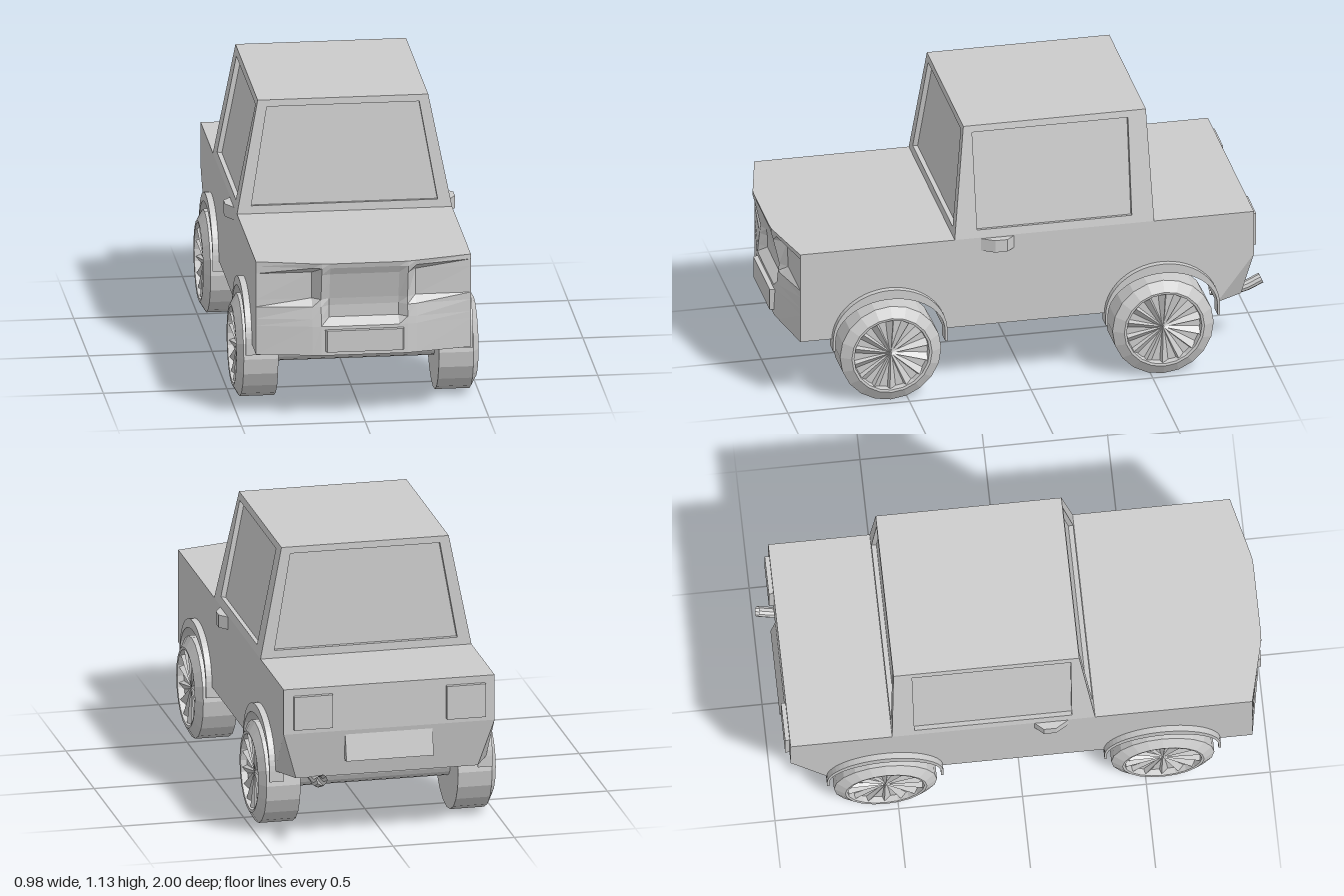
import * as THREE from 'three';
import { ConvexGeometry } from 'three/addons/geometries/ConvexGeometry.js';

const mat = new THREE.MeshStandardMaterial({ color: 0xcccccc, flatShading: true });
const V = (x, y, z) => new THREE.Vector3(x, y, z);

function add(parent, name, geometry, x = 0, y = 0, z = 0) {
  const mesh = new THREE.Mesh(geometry, mat);
  mesh.name = name;
  mesh.position.set(x, y, z);
  parent.add(mesh);
  return mesh;
}

// Flat quads, corners counter-clockwise seen from outside
function quadGeometry(quads) {
  const pts = quads.flatMap(([a, b, c, d]) => [a, b, c, a, c, d]);
  const g = new THREE.BufferGeometry().setFromPoints(pts);
  g.computeVertexNormals();
  return g;
}

// Side profile in (z, y), extruded across x from x0 to x1
function extrudeX(shape, x0, x1) {
  return new THREE.ExtrudeGeometry(shape, { depth: x1 - x0, bevelEnabled: false, curveSegments: 14 })
    .rotateY(-Math.PI / 2).translate(x1, 0, 0);
}

const AXLES = [0.57, -0.55], HALF = 0.435, TOP = 0.67, BOTTOM = 0.28;

// Main body with both wheel arches cut right through
function bodyGeometry() {
  const s = new THREE.Shape();
  s.moveTo(-0.78, BOTTOM);
  s.lineTo(-0.78, TOP);
  s.lineTo(0.935, TOP);
  s.lineTo(0.935, BOTTOM);
  for (const z of AXLES) {
    s.lineTo(z + 0.225, BOTTOM);
    s.absellipse(z, BOTTOM, 0.225, 0.165, 0, Math.PI, false);
  }
  return extrudeX(s, -HALF, HALF);
}

// Pointed nose: rows from hood to underside, z given from centre to corner
function noseGeometry() {
  const xs = [0, 0.14, 0.175, 0.21, HALF];
  const rows = [
    [0.67, 0.93, 0.93, 0.93, 0.93, 0.93],
    [0.67, 1.0, 1.0, 0.998, 0.99, 0.935],
    [0.65, 0.995, 0.995, 0.998, 0.985, 0.935],
    [0.62, 0.98, 0.98, 0.99, 0.94, 0.935],
    [0.51, 0.95, 0.95, 0.965, 0.936, 0.935],
    [0.48, 0.945, 0.945, 0.97, 0.965, 0.935],
    [0.43, 0.945, 0.945, 0.975, 0.972, 0.935],
    [0.40, 0.98, 0.98, 0.978, 0.975, 0.935],
    [0.28, 0.985, 0.985, 0.985, 0.978, 0.935],
    [0.28, 0.93, 0.93, 0.93, 0.93, 0.93],
  ];
  const quads = [];
  for (let r = 0; r < rows.length - 1; r++) {
    for (let c = 0; c < xs.length - 1; c++) {
      const p = (s, row, col) => V(s * xs[col], rows[row][0], rows[row][col + 1]);
      quads.push([p(1, r + 1, c), p(1, r + 1, c + 1), p(1, r, c + 1), p(1, r, c)]);
      quads.push([p(-1, r + 1, c + 1), p(-1, r + 1, c), p(-1, r, c), p(-1, r, c + 1)]);
    }
  }
  return quadGeometry(quads);
}

// Tail block tucked in below the lights
function tailGeometry() {
  const pts = [];
  for (const s of [-1, 1]) {
    pts.push(V(s * HALF, TOP, -0.78), V(s * HALF, BOTTOM, -0.78), V(s * HALF, TOP, -0.93),
      V(s * HALF, 0.48, -0.93), V(s * 0.375, BOTTOM, -0.89));
  }
  return new ConvexGeometry(pts);
}

// Window frame: corners from bottom left, margins u per corner, v bottom and top
function addWindow(parent, name, [a, b, c, d], u, v, depth) {
  const normal = b.clone().sub(a).cross(d.clone().sub(a)).normalize();
  const at = (s, t) => a.clone().lerp(b, s).lerp(d.clone().lerp(c, s), t);
  const outer = [a, b, c, d];
  const inner = [at(u[0], v[0]), at(1 - u[1], v[0]), at(1 - u[2], 1 - v[1]), at(u[3], 1 - v[1])];
  const glass = inner.map((p) => p.clone().addScaledVector(normal, -depth));
  const quads = [];
  for (let i = 0; i < 4; i++) {
    const j = (i + 1) % 4;
    quads.push([outer[i], outer[j], inner[j], inner[i]], [inner[i], inner[j], glass[j], glass[i]]);
  }
  add(parent, name + 'Frame', quadGeometry(quads));
  add(parent, name + 'Glass', quadGeometry([glass]));
}

function cabin() {
  const g = new THREE.Group();
  g.name = 'cabin';
  const ring = (x, y, front, back) => [V(-x, y, front), V(x, y, front), V(x, y, back), V(-x, y, back)];
  const base = ring(HALF, TOP, 0.3, -0.52), top = ring(0.345, 1.13, 0.245, -0.505);
  const ends = [0.06, 0.06, 0.06, 0.06];
  const margins = [ends, [0.11, 0.11, 0.1, 0.05], ends, [0.11, 0.11, 0.05, 0.1]];
  ['windshield', 'leftWindow', 'rearWindow', 'rightWindow'].forEach((name, i) => {
    const j = (i + 1) % 4;
    addWindow(g, name, [base[i], base[j], top[j], top[i]], margins[i], [0.07, 0.06], 0.02);
  });
  add(g, 'roof', quadGeometry([top]));
  return g;
}

// Wheel with its outer face towards +x, centred on the axle
function wheel() {
  const g = new THREE.Group();
  g.name = 'wheel';
  const profile = [[0, 0.325], [0.208, 0.325], [0.208, 0.465], [0.165, 0.49], [0.155, 0.488], [0.152, 0.462], [0, 0.462]];
  const tire = new THREE.LatheGeometry(profile.map(([r, x]) => new THREE.Vector2(r, x)), 20);
  add(g, 'tire', tire.rotateZ(-Math.PI / 2));
  const spokes = 14;
  for (let i = 0; i < spokes; i++) {
    const blade = new THREE.CylinderGeometry(0.024, 0.004, 0.148, 3)
      .rotateY(Math.PI / 2 + 0.25).scale(0.75, 1, 1).translate(0, 0.078, 0);
    add(g, 'spoke', blade, 0.465).rotation.x = (i / spokes) * Math.PI * 2;
  }
  return g;
}

function fenderGeometry() {
  const s = new THREE.Shape();
  s.moveTo(0.235, -0.045);
  s.lineTo(0.235, 0);
  s.absellipse(0, 0, 0.235, 0.205, 0, Math.PI, false);
  s.lineTo(-0.235, -0.045);
  s.lineTo(-0.225, -0.045);
  s.lineTo(-0.225, 0);
  s.absellipse(0, 0, 0.225, 0.165, Math.PI, 0, true);
  s.lineTo(0.225, -0.045);
  return extrudeX(s, 0.4, 0.46);
}

export function createModel() {
  const car = new THREE.Group();
  car.name = 'car';

  add(car, 'body', bodyGeometry());
  add(car, 'nose', noseGeometry());
  add(car, 'tail', tailGeometry());
  car.add(cabin());

  // Wheels, fenders and axles
  for (const z of AXLES) {
    add(car, 'axle', new THREE.CylinderGeometry(0.07, 0.07, 0.66, 20).rotateZ(Math.PI / 2), 0, 0.208, z);
    for (const side of [0, Math.PI]) {
      const w = wheel();
      w.position.set(0, 0.208, z);
      w.rotation.y = side;
      car.add(w);
      add(car, 'fender', fenderGeometry(), 0, BOTTOM, z).rotation.y = side;
    }
  }

  // Door handles and tail lights
  for (const s of [-1, 1]) {
    const handle = [];
    for (const y of [0.612, 0.665]) {
      handle.push(V(s * 0.43, y, 0.2), V(s * 0.465, y, 0.14), V(s * 0.465, y, 0.09), V(s * 0.43, y, 0.05));
    }
    add(car, 'doorHandle', new ConvexGeometry(handle));
    add(car, 'tailLight', new THREE.BoxGeometry(0.16, 0.14, 0.03), s * 0.315, 0.57, -0.933);
  }

  // Plates
  const plate = [];
  for (const [z, grow] of [[0.97, 0.01], [1.0, 0]]) {
    for (const s of [-1, 1]) plate.push(V(s * (0.153 + grow), 0.297, z), V(s * (0.153 + grow), 0.387, z));
  }
  add(car, 'frontPlate', new ConvexGeometry(plate));
  add(car, 'rearPlate', new THREE.BoxGeometry(0.36, 0.12, 0.03), 0, 0.41, -0.921).rotation.x = 0.19;

  // Exhaust
  const path = new THREE.CatmullRomCurve3([V(0.29, 0.265, -0.78), V(0.29, 0.263, -0.87), V(0.29, 0.267, -0.92), V(0.29, 0.298, -0.99)]);
  const pipe = add(car, 'exhaustPipe', new THREE.TubeGeometry(path, 10, 0.022, 10));
  pipe.material = mat.clone();
  pipe.material.side = THREE.DoubleSide;
  return car;
}
